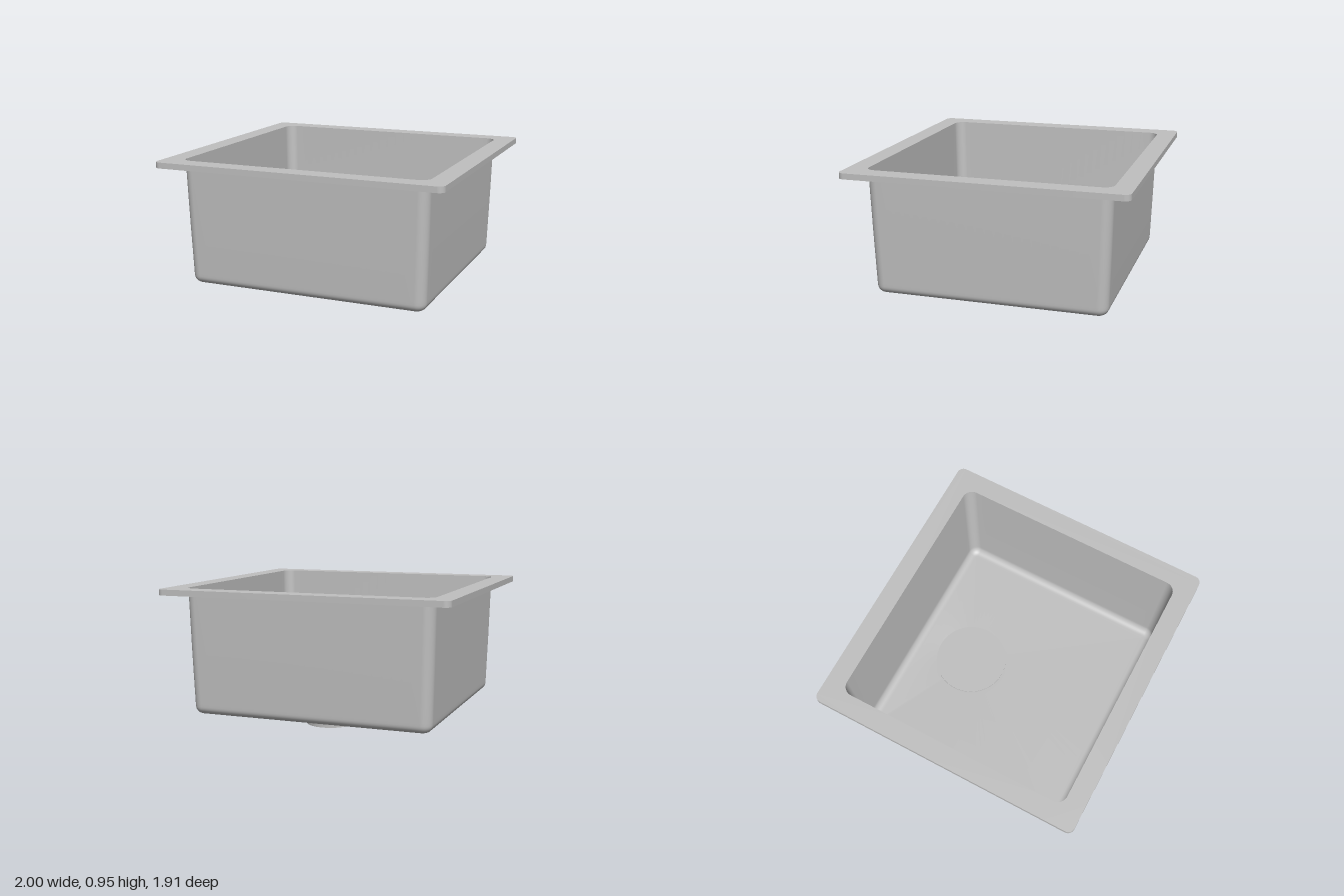
import * as THREE from 'three';

const DRAIN_Z = -0.357;

// Rounded rectangle as [x, z] points, with subdivided straight sides
function roundedLoop(hx, hz, r, arc = 10, side = 24) {
  const corners = [[1, 1, 0], [-1, 1, 1], [-1, -1, 2], [1, -1, 3]];
  const pts = [];
  for (const [sx, sz, q] of corners) {
    for (let i = 0; i <= arc; i++) {
      const a = (q + i / arc) * Math.PI / 2;
      pts.push([sx * (hx - r) + r * Math.cos(a), sz * (hz - r) + r * Math.sin(a)]);
    }
    const [x0, z0] = pts[pts.length - 1];
    const [nx, nz] = corners[(q + 1) % 4];
    const b = (q + 1) * Math.PI / 2;
    const x1 = nx * (hx - r) + r * Math.cos(b), z1 = nz * (hz - r) + r * Math.sin(b);
    for (let i = 1; i < side; i++) {
      const t = i / side;
      pts.push([x0 + (x1 - x0) * t, z0 + (z1 - z0) * t]);
    }
  }
  return pts;
}

// Skin a list of { y, pts } rings running from top to bottom
function loft(rings) {
  const n = rings[0].pts.length, pos = [], idx = [];
  for (const { y, pts } of rings) for (const [x, z] of pts) pos.push(x, y, z);
  for (let k = 0; k < rings.length - 1; k++) {
    for (let i = 0; i < n; i++) {
      const j = (i + 1) % n;
      const a = k * n + i, b = k * n + j, c = a + n, d = b + n;
      idx.push(a, b, c, b, d, c);
    }
  }
  const g = new THREE.BufferGeometry();
  g.setAttribute('position', new THREE.Float32BufferAttribute(pos, 3));
  g.setIndex(idx);
  g.computeVertexNormals();
  return g;
}

export function createModel() {
  const group = new THREE.Group();
  const steel = new THREE.MeshStandardMaterial({ color: 0xc0c0c0, side: THREE.DoubleSide });
  steel.name = 'brushed steel';
  const add = (name, geometry) => {
    const mesh = new THREE.Mesh(geometry, steel);
    mesh.name = name;
    group.add(mesh);
    return mesh;
  };
  const toVec = (pts) => pts.map(([x, z]) => new THREE.Vector2(x, z));

  // Flat rim with the bowl opening, and its turned-down edge
  const outer = roundedLoop(1, 0.955, 0.045);
  const opening = roundedLoop(0.865, 0.822, 0.07);
  const rimShape = new THREE.Shape(toVec(outer));
  rimShape.holes.push(new THREE.Path(toVec(opening)));
  add('rim', new THREE.ShapeGeometry(rimShape).rotateX(-Math.PI / 2)).position.y = 0.95;
  add('rimEdge', loft([{ y: 0.95, pts: outer }, { y: 0.91, pts: outer }]));

  // Tapered walls
  const rings = [{ y: 0.95, pts: opening }];
  const bx = 0.843, bz = 0.8, fillet = 0.055, floorY = 0.085;
  rings.push({ y: 0.5, pts: roundedLoop(0.854, 0.811, 0.07) });
  rings.push({ y: 0.16, pts: roundedLoop(bx + 0.001, bz + 0.001, 0.07) });

  // Rounded bottom edge
  for (let i = 0; i <= 8; i++) {
    const a = i / 8 * Math.PI / 2;
    const inset = fillet * (1 - Math.cos(a));
    rings.push({
      y: floorY + fillet * (1 - Math.sin(a)),
      pts: roundedLoop(bx - inset, bz - inset, 0.07 - inset),
    });
  }

  // Floor falling gently to the drain
  const edge = rings[rings.length - 1].pts;
  const circle = (r) => edge.map(([x, z]) => {
    const a = Math.atan2(z - DRAIN_Z, x);
    return [r * Math.cos(a), DRAIN_Z + r * Math.sin(a)];
  });
  const drainTop = circle(0.265);
  for (const t of [0.03, 0.35, 0.7, 0.97]) {
    rings.push({
      y: floorY + (0.068 - floorY) * t,
      pts: edge.map(([x, z], i) => [
        x + (drainTop[i][0] - x) * t,
        z + (drainTop[i][1] - z) * t,
      ]),
    });
  }

  // Flared drain neck
  const neck = [[0.265, 0.068], [0.225, 0.066], [0.205, 0.062], [0.188, 0.053],
    [0.175, 0.042], [0.167, 0.03], [0.165, 0.02], [0.165, 0]];
  for (const [r, y] of neck) rings.push({ y, pts: circle(r) });
  add('bowl', loft(rings));

  // Drain closure below and flat cover above
  add('drainBase', new THREE.CircleGeometry(0.165, 64).rotateX(Math.PI / 2))
    .position.set(0, 0, DRAIN_Z);
  add('drainCover', new THREE.CylinderGeometry(0.265, 0.265, 0.008, 64))
    .position.set(0, 0.074, DRAIN_Z);

  return group;
}
